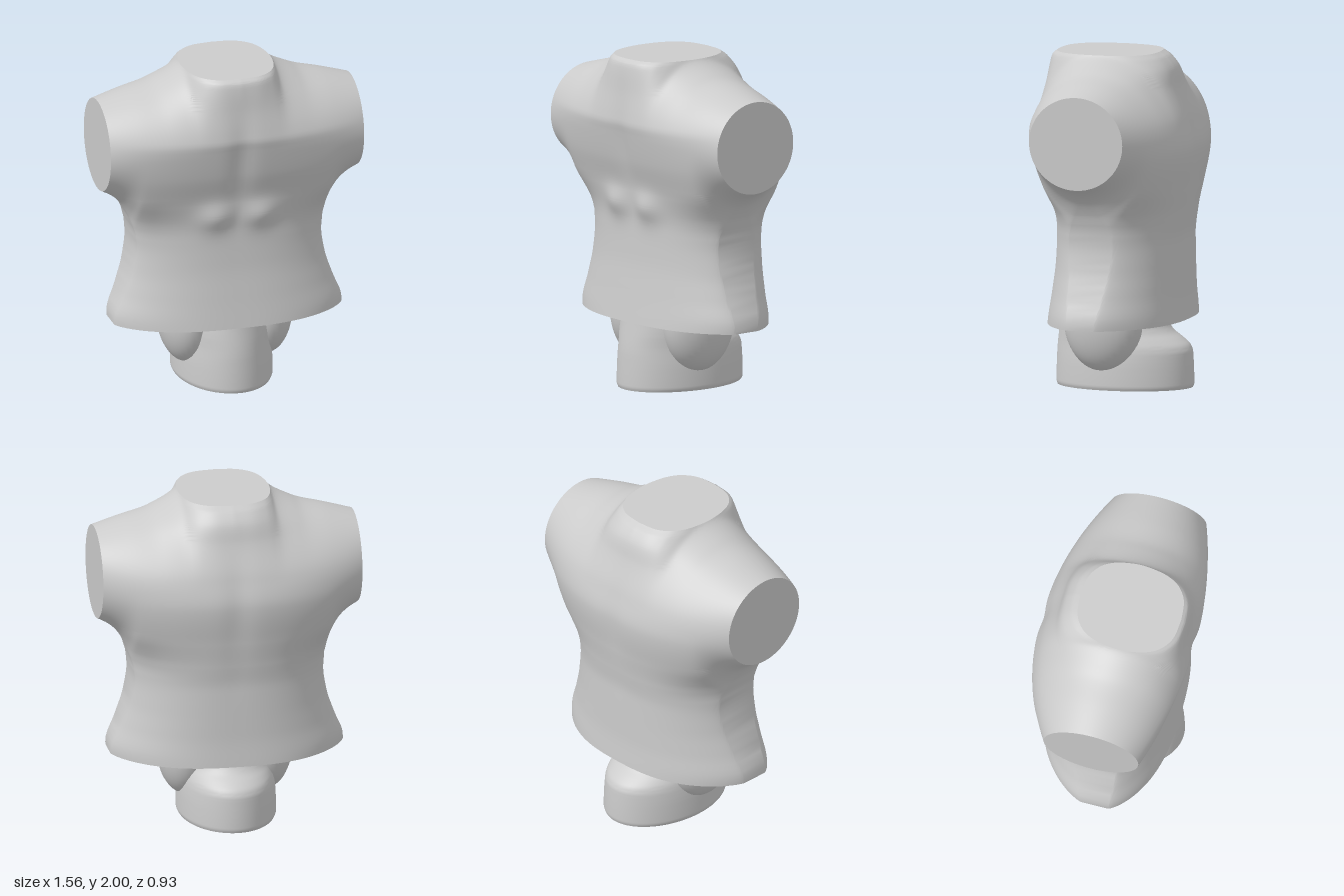
import * as THREE from 'three';
import { mergeGeometries, toCreasedNormals } from 'three/addons/utils/BufferGeometryUtils.js';

const { lerp, smoothstep } = THREE.MathUtils;
const bell = (v, w) => Math.exp(-(v * v) / (w * w));

// Monotone cubic curve through [position, value] pairs
function curve(pts) {
  const n = pts.length, d = [], t = [];
  for (let i = 0; i < n - 1; i++) d.push((pts[i + 1][1] - pts[i][1]) / (pts[i + 1][0] - pts[i][0]));
  for (let i = 0; i < n; i++) {
    const a = d[Math.max(i - 1, 0)], b = d[Math.min(i, n - 2)];
    t.push(a * b <= 0 ? 0 : (2 * a * b) / (a + b));
  }
  return (x) => {
    if (x <= pts[0][0]) return pts[0][1];
    if (x >= pts[n - 1][0]) return pts[n - 1][1];
    let i = 0;
    while (x > pts[i + 1][0]) i++;
    const h = pts[i + 1][0] - pts[i][0], s = (x - pts[i][0]) / h, s2 = s * s, s3 = s2 * s;
    return (2 * s3 - 3 * s2 + 1) * pts[i][1] + (s3 - 2 * s2 + s) * h * t[i]
      + (3 * s2 - 2 * s3) * pts[i + 1][1] + (s3 - s2) * h * t[i + 1];
  };
}

// Skin over horizontal rings (bottom to top), closed by flat sharp-edged caps
function loft(rings, crease) {
  const pos = rings.flat(2), walls = [], caps = [], n = rings[0].length, m = rings.length;
  for (const r of [rings[0], rings[m - 1]]) {
    const c = new THREE.Vector3();
    r.forEach((p) => c.add(new THREE.Vector3(...p)));
    pos.push(...c.divideScalar(n).toArray());
  }
  for (let j = 0; j < n; j++) {
    const k = (j + 1) % n;
    for (let i = 0; i < m - 1; i++) {
      const a = i * n + j, b = i * n + k;
      walls.push(a, a + n, b, a + n, b + n, b);
    }
    caps.push(m * n, j, k, m * n + 1, (m - 1) * n + k, (m - 1) * n + j);
  }
  return mergeGeometries([walls, caps].map((index) => {
    const g = new THREE.BufferGeometry();
    g.setAttribute('position', new THREE.Float32BufferAttribute(pos, 3));
    g.setIndex(index);
    return toCreasedNormals(g, crease);
  }));
}

// Torso: a waist that blends upward into shoulders ending in round flat arm stubs
function torsoGeometry() {
  const armX = 0.78, armY = 1.5375, armR = 0.2775, armZ = 0.29;
  // Profiles by height
  const waist = curve([[0.41, 0.7], [0.43, 0.7], [0.6, 0.64], [0.75, 0.59], [0.9, 0.568], [1, 0.578]]);
  const front = curve([[0.41, 0.385], [0.6, 0.36], [0.8, 0.34], [1, 0.335], [1.2, 0.36], [1.4, 0.42],
    [1.58, 0.46], [1.62, 0.468], [1.66, 0.463], [1.8, 0.44], [1.95, 0.42], [1.98, 0.41], [2, 0.385]]);
  const back = curve([[0.41, -0.41], [0.6, -0.4], [0.9, -0.4], [1.05, -0.42], [1.2, -0.445], [1.43, -0.472],
    [1.6, -0.435], [1.8, -0.36], [1.9, -0.33], [1.97, -0.28], [2, -0.235]]);
  const side = curve([[0.41, 0.08], [0.9, 0.13], [1.26, 0.1]]);
  const middle = curve([[0.41, 0.04], [0.9, 0.015], [1.26, 0.04], [1.85, 0.04], [2, 0.07]]);
  // Shoulder top and armpit outlines by distance from the centre
  const top = curve([[0, 2.35], [0.1, 2.3], [0.2, 2.15], [0.25, 2.05], [0.275, 2], [0.29, 1.985], [0.32, 1.965],
    [0.39, 1.93], [0.46, 1.9], [0.6, 1.865], [0.78, 1.815]]);
  const under = curve([[0, 0.6], [0.3, 0.72], [0.5, 0.88], [0.578, 1], [0.61, 1.09], [0.66, 1.175],
    [0.72, 1.228], [0.78, 1.26]]);

  // Height of a point relative to the shoulder section at x (1 = on the outline)
  const ratio = (x, y) => (y - armY) / ((y > armY ? top(x) : under(x)) - armY);
  const round = (x, y) => Math.sqrt(Math.max(0, 1 - ratio(x, y) ** 2));
  const halfWidth = (y) => {
    if (y <= 1) return waist(y);
    let lo = 0, hi = armX;
    if (ratio(hi, y) <= 1) return hi;
    for (let i = 0; i < 40; i++) {
      const x = (lo + hi) / 2;
      if (ratio(x, y) <= 1) lo = x; else hi = x;
    }
    return lo;
  };

  const heights = [0.41, 0.425];
  for (let i = 1; i <= 20; i++) heights.push(0.425 + i * 0.03);
  for (let i = 1; i <= 46; i++) heights.push(1.025 + i * 0.005);
  for (let i = 0; i <= 40; i++) heights.push(armY - armR * Math.cos((i / 40) * Math.PI));
  for (let i = 1; i <= 37; i++) heights.push(1.815 + i * 0.005);
  heights.sort((a, b) => a - b);

  const N = 72;
  return loft(heights.map((y) => {
    const W = halfWidth(y), mid = middle(y), blend = smoothstep(y, 0.95, 1.26), ring = [];
    const depth = (u, full) => {
      const x = Math.abs(u) * W, v = (x / armX) ** 2.3;
      const trunk = lerp(side(y), full, (1 - Math.abs(u) ** 2.6) ** 0.75);
      const shoulder = lerp(full, armZ, v) * round(x, y) / lerp(round(0, y), 1, v);
      return lerp(trunk, shoulder, blend);
    };
    // Front, with breastbone groove and two small swellings below the chest
    for (let i = 0; i <= N; i++) {
      const u = Math.cos((i / N) * Math.PI), x = W * u;
      const groove = 0.02 * bell(x, 0.07) * bell(y - 1.5, 0.3);
      const swell = 0.034 * bell(Math.abs(x) - 0.14, 0.1) * bell(y - 1.11, 0.085);
      ring.push([x, y, mid + depth(u, front(y) - mid) - groove + swell]);
    }
    // Back, with spine groove
    for (let i = 0; i <= N; i++) {
      const u = -Math.cos((i / N) * Math.PI), x = W * u;
      ring.push([x, y, mid - depth(u, mid - back(y)) + 0.014 * bell(x, 0.08) * bell(y - 1.4, 0.35)]);
    }
    return ring;
  }), 0.8);
}

// Lower post: oval column whose back steps in near the top
function postGeometry() {
  const half = curve([[0, 0.285], [0.02, 0.293], [0.13, 0.29], [0.42, 0.25]]);
  const front = curve([[0, 0.393], [0.02, 0.4], [0.2, 0.395], [0.42, 0.37]]);
  const back = curve([[0, -0.43], [0.02, -0.437], [0.21, -0.43], [0.25, -0.415], [0.29, -0.37],
    [0.33, -0.315], [0.37, -0.285], [0.42, -0.27]]);
  const rings = [];
  for (let i = 0; i <= 42; i++) {
    const y = i * 0.01, ring = [];
    const c = (front(y) + back(y)) / 2, d = (front(y) - back(y)) / 2;
    for (let j = 0; j < 64; j++) {
      const a = (j / 64) * Math.PI * 2;
      ring.push([half(y) * Math.cos(a), y, c + d * Math.sin(a)]);
    }
    rings.push(ring);
  }
  return loft(rings, 0.8);
}

export function createModel() {
  const group = new THREE.Group();
  const material = new THREE.MeshStandardMaterial({ color: 0xcccccc });
  const add = (name, geometry) => {
    const mesh = new THREE.Mesh(geometry, material);
    mesh.name = name;
    group.add(mesh);
    return mesh;
  };
  add('torso', torsoGeometry());
  add('lowerPost', postGeometry());

  // Rounded lobes on both sides of the post, hanging under the torso
  for (const s of [1, -1]) {
    const lobe = new THREE.SphereGeometry(1, 32, 16, 0, Math.PI * 2, Math.PI / 2, Math.PI / 2);
    lobe.scale(0.165, 0.31, 0.24);
    add(s > 0 ? 'leftLobe' : 'rightLobe', lobe).position.set(s * 0.245, 0.42, 0.04);
  }
  return group;
}
